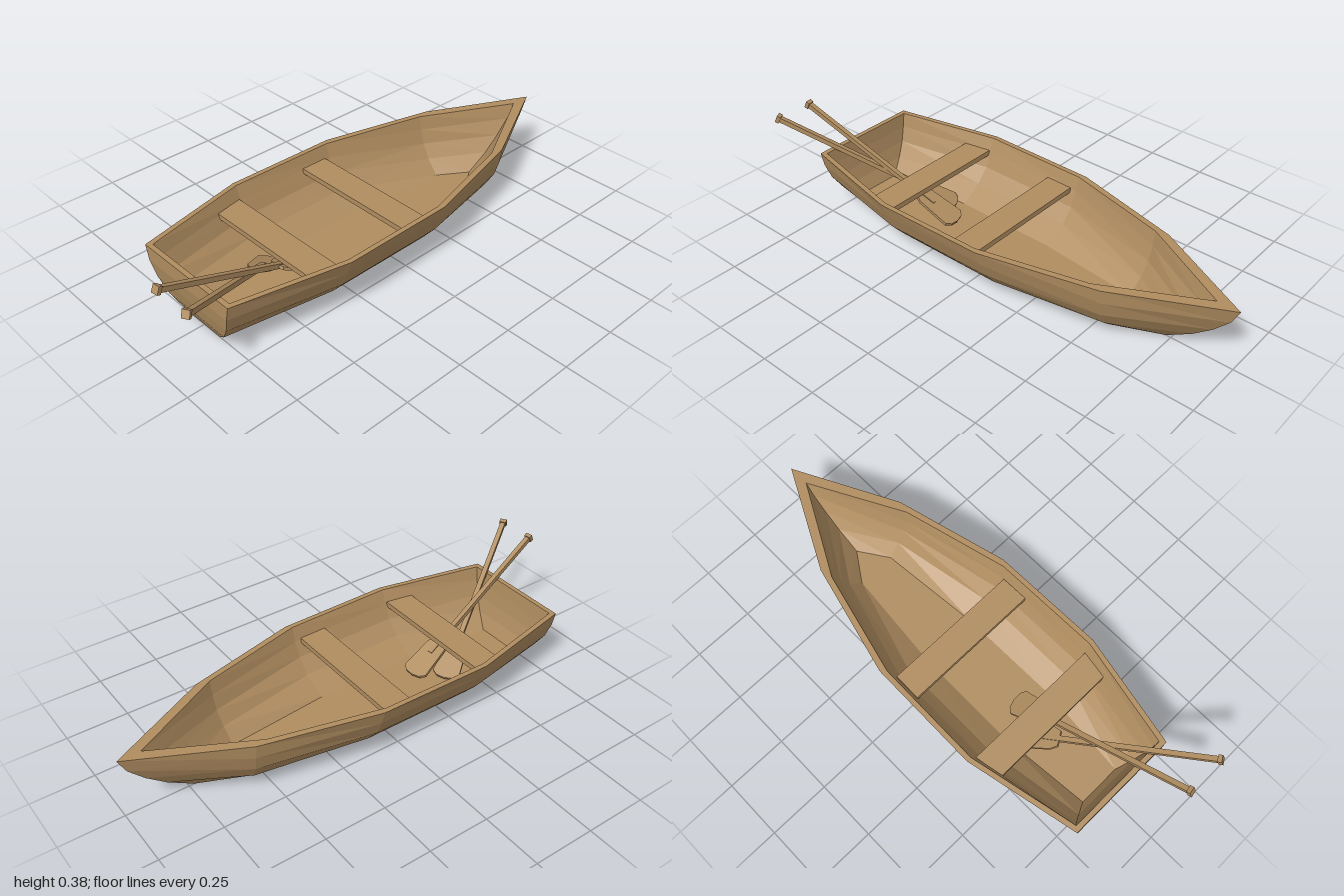
import * as THREE from 'three';

const wood = new THREE.MeshStandardMaterial({ color: 0xb08d60, flatShading: true });

// Flat-shaded mesh from a list of four-cornered faces
function quadMesh(name, quads) {
  const pos = [];
  for (const [a, b, c, d] of quads) pos.push(...a, ...b, ...c, ...a, ...c, ...d);
  const geo = new THREE.BufferGeometry();
  geo.setAttribute('position', new THREE.Float32BufferAttribute(pos, 3));
  geo.computeVertexNormals();
  const mesh = new THREE.Mesh(geo, wood);
  mesh.name = name;
  return mesh;
}

// Cross-sections run from the left rim under the boat to the right rim
function sections(stations, levels) {
  return stations.map(({ x, w }) => {
    const half = levels.map((y, i) => [x[i], y, w[i]]);
    return [...half, ...half.map(([px, y, z]) => [px, y, -z]).reverse()];
  });
}

// Skin between the cross-sections, closed by a flat-faced transom at the stern
function shell(name, secs, inward) {
  const quads = [];
  const n = secs[0].length;
  for (let s = 0; s < secs.length - 1; s++)
    for (let j = 0; j < n - 1; j++)
      quads.push([secs[s][j], secs[s][j + 1], secs[s + 1][j + 1], secs[s + 1][j]]);
  const t = secs[0];
  for (let j = 0; j < n / 2 - 1; j++)
    quads.push([t[j], t[n - 1 - j], t[n - 2 - j], t[j + 1]]);
  return quadMesh(name, inward ? quads.map((q) => q.reverse()) : quads);
}

// Flat rim joining the outer and inner skins
function rim(outer, inner) {
  const quads = [];
  const e = outer[0].length - 1;
  for (let s = 0; s < outer.length - 1; s++) {
    quads.push([outer[s][0], outer[s + 1][0], inner[s + 1][0], inner[s][0]]);
    quads.push([outer[s][e], inner[s][e], inner[s + 1][e], outer[s + 1][e]]);
  }
  quads.push([outer[0][0], inner[0][0], inner[0][e], outer[0][e]]);
  return quadMesh('gunwale', quads);
}

// Plank with its ends cut to follow the sides of the boat
function seat(x0, x1, z0, z1) {
  const shape = new THREE.Shape();
  shape.moveTo(x0, z0);
  shape.lineTo(x0, -z0);
  shape.lineTo(x1, -z1);
  shape.lineTo(x1, z1);
  const geo = new THREE.ExtrudeGeometry(shape, { depth: 0.022, bevelEnabled: false });
  geo.rotateX(-Math.PI / 2).translate(0, 0.178, 0);
  const mesh = new THREE.Mesh(geo, wood);
  mesh.name = 'seat';
  return mesh;
}

// Oar from its grip down to the tip of the blade
function oar(grip, tip) {
  const dir = tip.clone().sub(grip);
  const len = dir.length();
  dir.normalize();
  const group = new THREE.Group();
  group.name = 'oar';

  const shaft = new THREE.Mesh(new THREE.BoxGeometry(len - 0.12, 0.02, 0.02), wood);
  shaft.name = 'oarShaft';
  shaft.position.x = (len - 0.12) / 2;

  const cap = new THREE.Mesh(new THREE.BoxGeometry(0.016, 0.03, 0.028), wood);
  cap.name = 'oarGrip';

  const outline = [[0, -0.03], [0.03, -0.045], [0.17, -0.055], [0.187, -0.035], [0.193, 0],
    [0.187, 0.035], [0.17, 0.055], [0.03, 0.045], [0, 0.03]];
  const shape = new THREE.Shape(outline.map(([x, y]) => new THREE.Vector2(x, y)));
  const geo = new THREE.ExtrudeGeometry(shape, { depth: 0.012, bevelEnabled: false });
  geo.translate(len - 0.193, 0, -0.006).rotateX(-Math.PI / 2);
  const blade = new THREE.Mesh(geo, wood);
  blade.name = 'oarBlade';

  group.add(shaft, cap, blade);
  group.position.copy(grip);
  group.rotation.set(0, Math.atan2(-dir.z, dir.x), Math.asin(dir.y), 'YZX');
  return group;
}

export function createModel() {
  const boat = new THREE.Group();
  boat.name = 'rowingBoat';

  // x and half width of each station, from the rim down to the bottom
  const outer = sections([
    { x: [-0.805, -0.805, -0.795, -0.78, -0.75], w: [0.235, 0.222, 0.2, 0.16, 0.09] },
    { x: [-0.35, -0.35, -0.35, -0.35, -0.35], w: [0.332, 0.31, 0.284, 0.23, 0.13] },
    { x: [0.12, 0.12, 0.12, 0.12, 0.12], w: [0.325, 0.307, 0.28, 0.228, 0.128] },
    { x: [0.58, 0.58, 0.575, 0.565, 0.54], w: [0.21, 0.202, 0.185, 0.15, 0.085] },
    { x: [0.995, 0.965, 0.905, 0.83, 0.73], w: [0, 0, 0, 0, 0] },
  ], [0.25, 0.19, 0.125, 0.063, 0]);

  const inner = sections([
    { x: [-0.785, -0.78, -0.77, -0.755, -0.73], w: [0.218, 0.205, 0.183, 0.147, 0.09] },
    { x: [-0.35, -0.35, -0.35, -0.35, -0.35], w: [0.312, 0.29, 0.264, 0.212, 0.125] },
    { x: [0.1, 0.1, 0.1, 0.1, 0.09], w: [0.305, 0.287, 0.26, 0.21, 0.12] },
    { x: [0.53, 0.53, 0.53, 0.525, 0.52], w: [0.198, 0.186, 0.167, 0.133, 0.08] },
    { x: [0.905, 0.87, 0.81, 0.74, 0.64], w: [0, 0, 0, 0, 0] },
  ], [0.25, 0.192, 0.132, 0.075, 0.018]);

  boat.add(shell('hull', outer, false), shell('hullInterior', inner, true), rim(outer, inner));

  // Two bench seats
  boat.add(seat(-0.47, -0.355, 0.27, 0.29), seat(-0.04, 0.075, 0.287, 0.285));

  // Two stowed oars leaning on the stern
  boat.add(
    oar(new THREE.Vector3(-0.985, 0.368, 0.285), new THREE.Vector3(-0.36, 0.035, -0.09)),
    oar(new THREE.Vector3(-0.985, 0.368, 0.127), new THREE.Vector3(-0.27, 0.035, 0.005)),
  );
  return boat;
}
